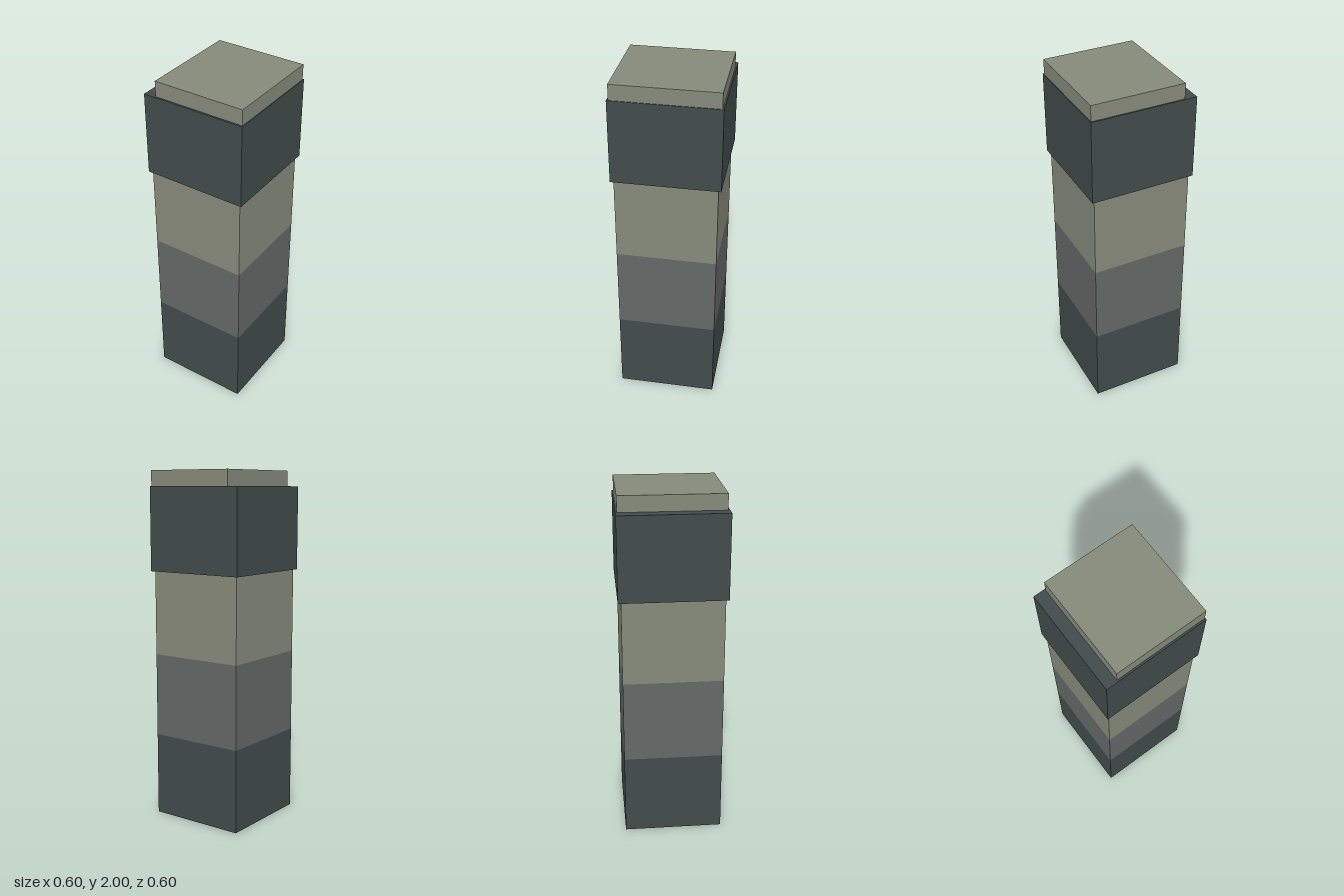
import * as THREE from 'three';

export function createModel() {
  const model = new THREE.Group();
  model.name = 'bandedPillar';

  const material = (name, color) => {
    const m = new THREE.MeshStandardMaterial({ color });
    m.name = name;
    return m;
  };
  const slate = material('darkSlate', 0x414b4b);
  const grey = material('stoneGrey', 0x636866);
  const sage = material('paleSage', 0x868a7a);

  // Adds a block given its lower and upper corners
  const block = (name, mat, [x0, y0, z0], [x1, y1, z1]) => {
    const mesh = new THREE.Mesh(new THREE.BoxGeometry(x1 - x0, y1 - y0, z1 - z0), mat);
    mesh.position.set((x0 + x1) / 2, (y0 + y1) / 2, (z0 + z1) / 2);
    mesh.name = name;
    model.add(mesh);
  };

  // Shaft: three equal bands stacked flush
  const levels = [0, 0.478, 0.956, 1.437];
  const bands = [['lowerBand', slate], ['middleBand', grey], ['upperBand', sage]];
  bands.forEach(([name, mat], i) => {
    block(name, mat, [-0.284, levels[i], -0.283], [0.283, levels[i + 1], 0.284]);
  });

  // Slightly wider head
  block('head', slate, [-0.3, 1.437, -0.3], [0.3, 1.912, 0.3]);

  // Thin top slab, set off to one side
  block('topSlab', sage, [-0.233, 1.912, -0.292], [0.296, 2, 0.29]);

  return model;
}
